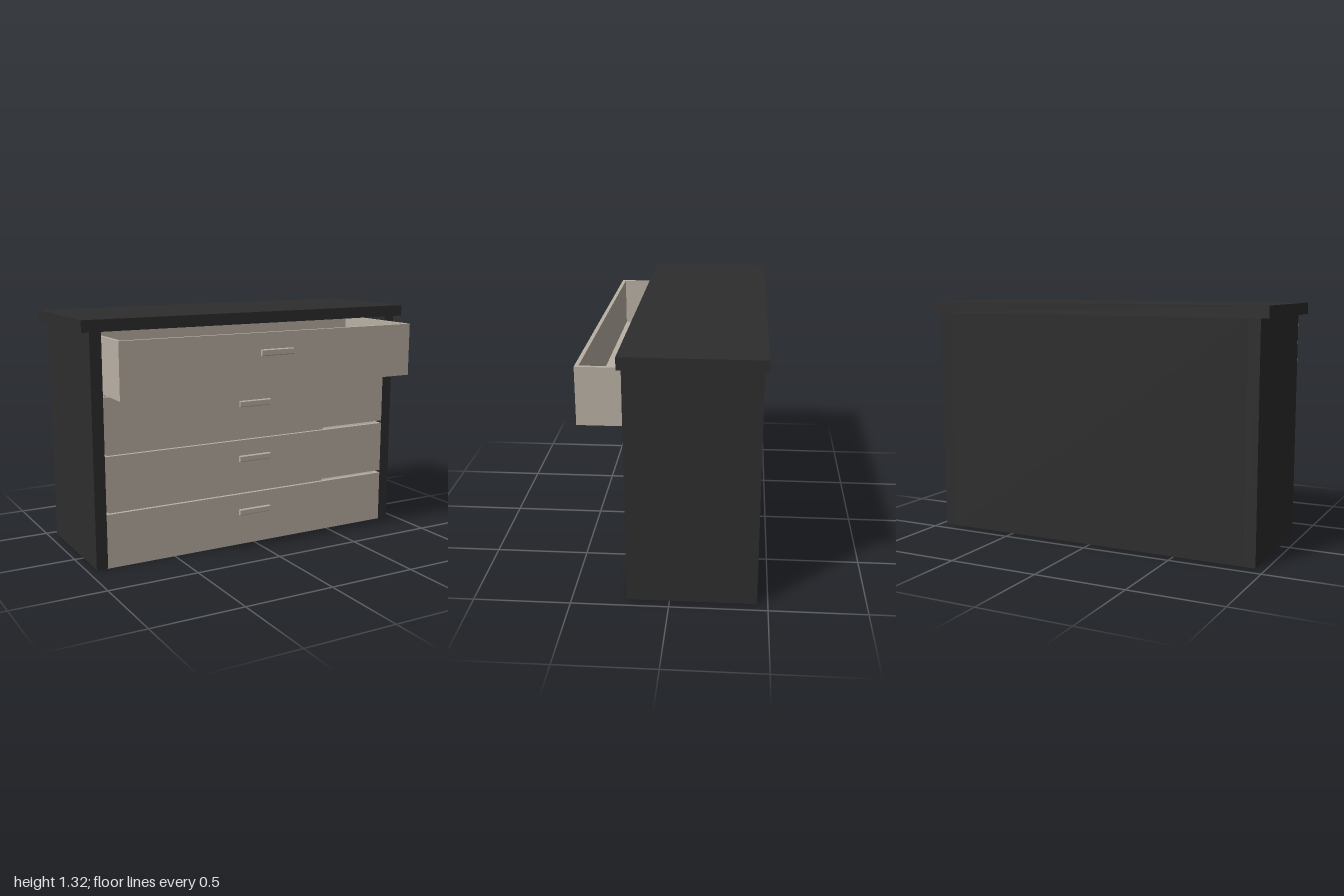
import * as THREE from 'three';

const charcoal = new THREE.MeshStandardMaterial({ name: 'charcoal', color: 0x2d2d2d });
const taupe = new THREE.MeshStandardMaterial({ name: 'taupe', color: 0xbab1a5 });

// Box given by its limits on each axis
function slab(name, material, [x0, x1], [y0, y1], [z0, z1]) {
  const mesh = new THREE.Mesh(new THREE.BoxGeometry(x1 - x0, y1 - y0, z1 - z0), material);
  mesh.name = name;
  mesh.position.set((x0 + x1) / 2, (y0 + y1) / 2, (z0 + z1) / 2);
  return mesh;
}

const FRONT = 0.218, BACK = -0.395, HALF = 0.89, WALL = 0.02, HEIGHT = 0.295, PITCH = 0.311;

// Handle: a bar whose outer edges are slightly bevelled
function createHandle() {
  const profile = new THREE.Shape([
    new THREE.Vector2(0, -0.017), new THREE.Vector2(0.011, -0.017), new THREE.Vector2(0.016, -0.013),
    new THREE.Vector2(0.016, 0.013), new THREE.Vector2(0.011, 0.017), new THREE.Vector2(0, 0.017),
  ]);
  const geometry = new THREE.ExtrudeGeometry(profile, { depth: 0.196, bevelEnabled: false });
  geometry.translate(0, 0, -0.098).rotateY(-Math.PI / 2);
  const handle = new THREE.Mesh(geometry, taupe);
  handle.name = 'handle';
  handle.position.set(0, 0.19, FRONT);
  return handle;
}

// Open-topped drawer box with its handle
function createDrawer() {
  const drawer = new THREE.Group();
  const inner = HALF - WALL;
  drawer.add(
    slab('drawerFront', taupe, [-HALF, HALF], [0, HEIGHT], [FRONT - WALL, FRONT]),
    slab('drawerBack', taupe, [-HALF, HALF], [0, HEIGHT], [BACK, BACK + WALL]),
    slab('drawerLeftSide', taupe, [inner, HALF], [0, HEIGHT], [BACK + WALL, FRONT - WALL]),
    slab('drawerRightSide', taupe, [-HALF, -inner], [0, HEIGHT], [BACK + WALL, FRONT - WALL]),
    slab('drawerFloor', taupe, [-inner, inner], [0, WALL], [BACK + WALL, FRONT - WALL]),
    createHandle(),
  );
  return drawer;
}

export function createModel() {
  const model = new THREE.Group();
  model.name = 'chestOfDrawers';

  // Carcass: top, sides and back, open below
  model.add(
    slab('top', charcoal, [-1, 1], [1.253, 1.315], [-0.465, 0.235]),
    slab('leftSide', charcoal, [HALF, 0.953], [0.005, 1.253], [-0.445, FRONT]),
    slab('rightSide', charcoal, [-0.953, -HALF], [0.005, 1.253], [-0.445, FRONT]),
    slab('backPanel', charcoal, [-HALF, HALF], [0.005, 1.253], [-0.445, BACK]),
  );

  // Four drawers, the uppermost pulled out
  for (let i = 0; i < 4; i++) {
    const drawer = createDrawer();
    drawer.name = `drawer${i + 1}`;
    drawer.position.set(0, i * PITCH, i === 3 ? 0.231 : 0);
    model.add(drawer);
  }
  return model;
}
